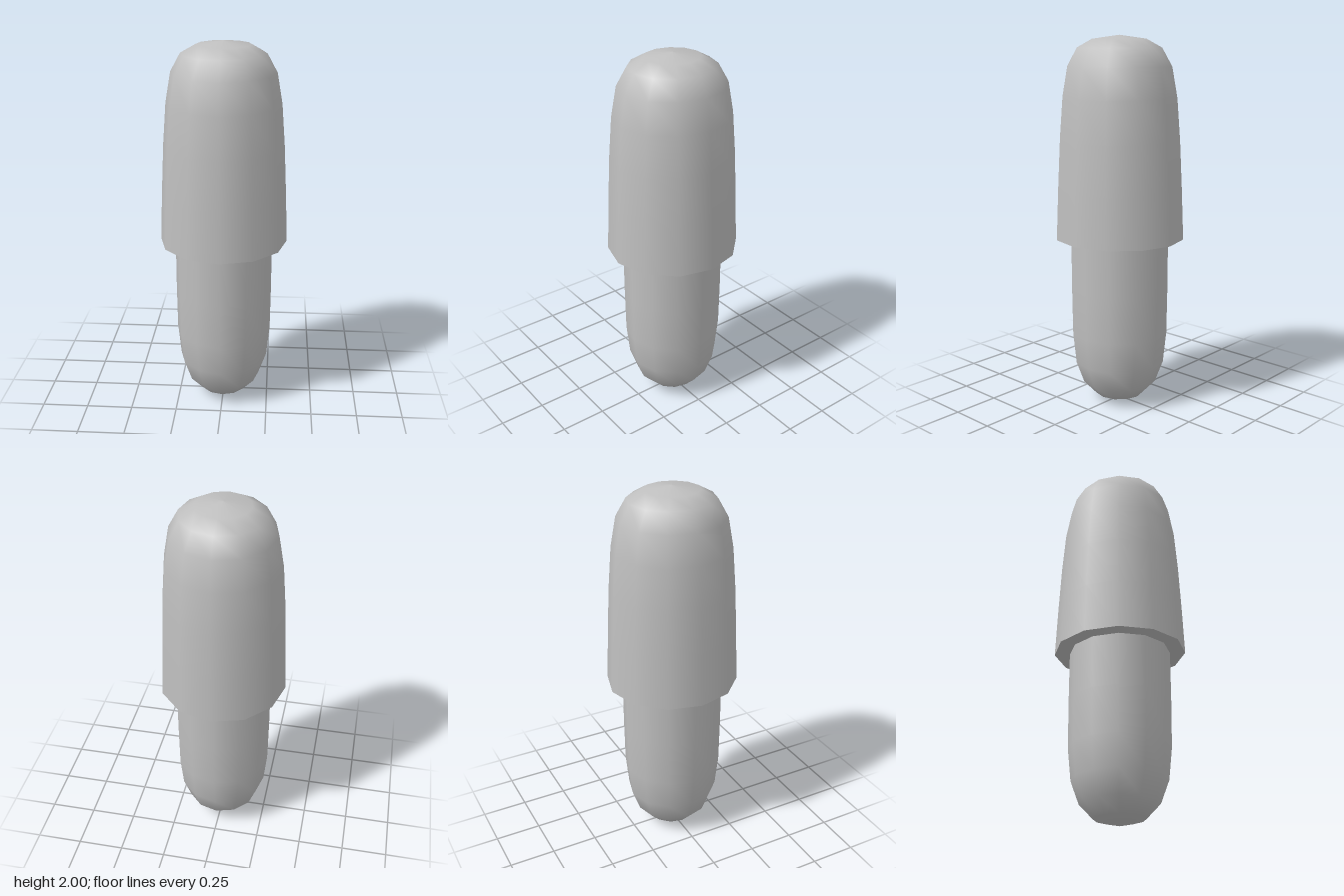
import * as THREE from 'three';

const SIDES = 12;
const DEPTH = 1.036; // slightly oval: deeper than wide

// Turned part from [radius, height] pairs, listed bottom to top
function turned(name, profile, material) {
  const points = profile.map(([r, y]) => new THREE.Vector2(r, y));
  const geometry = new THREE.LatheGeometry(points, SIDES);
  geometry.scale(1, 1, DEPTH);
  const mesh = new THREE.Mesh(geometry, material);
  mesh.name = name;
  return mesh;
}

export function createModel() {
  const group = new THREE.Group();
  group.name = 'capsule';
  const grey = new THREE.MeshStandardMaterial({ color: 0xbfbfbf });
  grey.name = 'light grey';

  // Narrow lower shaft with a rounded tip
  group.add(turned('shaft', [
    [0, 0], [0.13, 0.035], [0.2, 0.11], [0.243, 0.23], [0.26, 0.4], [0.263, 0.65], [0.263, 0.93],
  ], grey));

  // Flat underside of the cap
  group.add(turned('capRim', [[0.263, 0.93], [0.343, 0.93]], grey));

  // Wider tapering cap with a rounded top
  group.add(turned('cap', [
    [0.343, 0.93], [0.332, 1.2], [0.319, 1.46], [0.302, 1.68], [0.274, 1.84],
    [0.222, 1.935], [0.142, 1.98], [0, 2],
  ], grey));

  return group;
}
